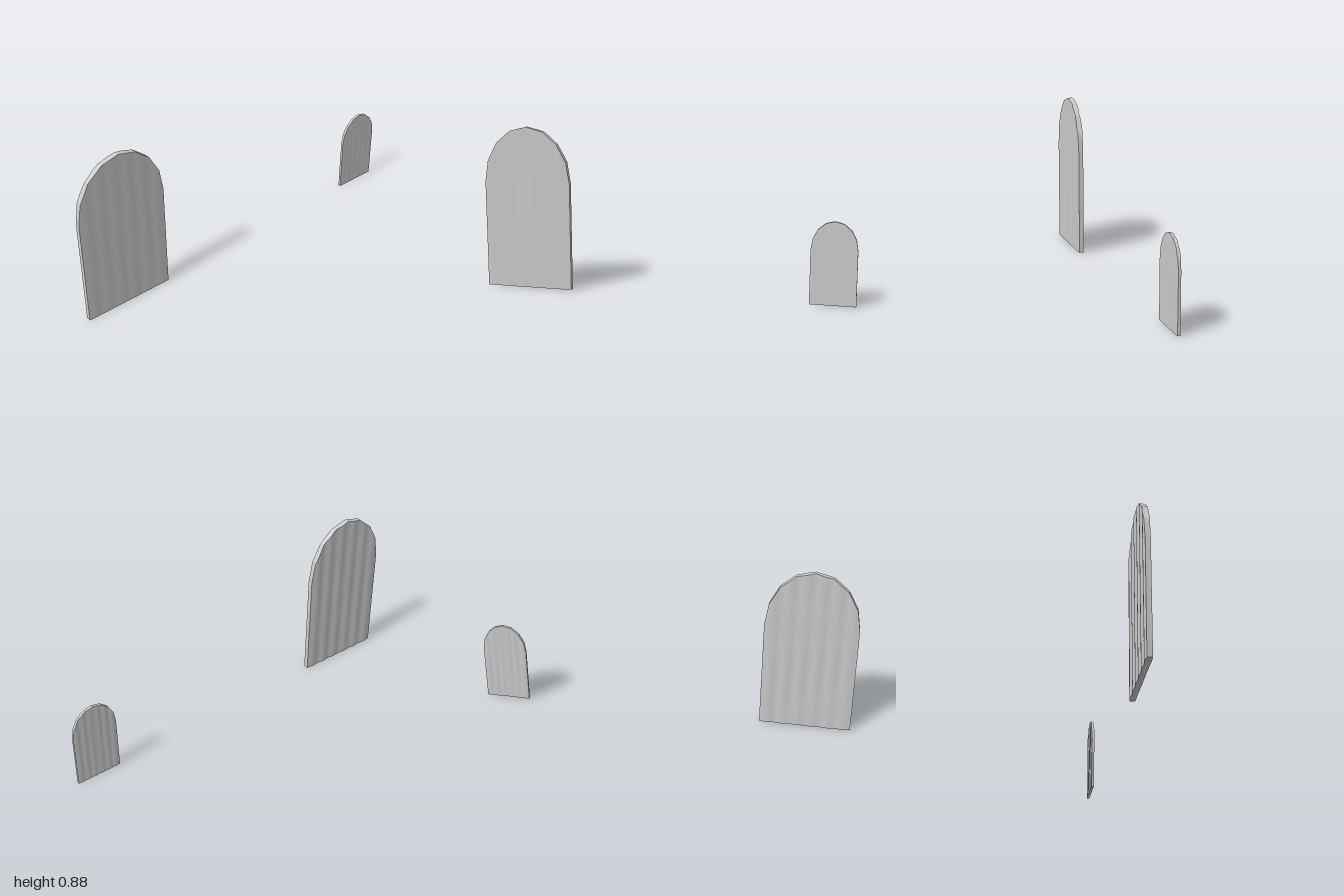
import * as THREE from 'three';
import { toCreasedNormals } from 'three/addons/utils/BufferGeometryUtils.js';

const PLANKS = 6;
const SEGMENTS = 8;

// Faceted elliptical arch: 0 at the spring line, 1 at the crown
const archKnots = Array.from({ length: SEGMENTS + 1 }, (_, i) => {
  const a = Math.PI * (1 - i / SEGMENTS);
  return [Math.cos(a), Math.sin(a)];
});
function archHeight(u) {
  for (let i = 1; i <= SEGMENTS; i++) {
    const [u0, h0] = archKnots[i - 1], [u1, h1] = archKnots[i];
    if (u <= u1 + 1e-9) return h0 + (h1 - h0) * (u - u0) / (u1 - u0);
  }
  return 0;
}

// Arched panel swept across its width, with shallow vertical plank grooves
function panelGeometry(width, spring, rise, depth) {
  const us = archKnots.map(k => k[0]);
  for (let i = 0; i <= PLANKS * 6; i++) us.push(-1 + 2 * i / (PLANKS * 6));
  us.sort((a, b) => a - b);
  const columns = us.filter((u, i) => i === 0 || u - us[i - 1] > 1e-4);

  const sections = columns.map(u => {
    const x = u * width / 2;
    const top = spring + rise * archHeight(u);
    const groove = Math.cos((u + 1) * Math.PI * PLANKS) * 0.5 + 0.5;
    const front = depth / 2 - groove * depth * 0.04;
    const back = -depth / 2 + groove * depth * 0.14;
    return [[x, 0, front], [x, top, front], [x, top, back], [x, 0, back]];
  });

  const pos = [];
  const quad = (a, b, c, d) => pos.push(...a, ...b, ...c, ...a, ...c, ...d);
  for (let i = 0; i < sections.length - 1; i++) {
    const s = sections[i], t = sections[i + 1];
    for (let k = 0; k < 4; k++) {
      const n = (k + 1) % 4;
      quad(s[k], t[k], t[n], s[n]);
    }
  }
  // End faces
  const l = sections[0], r = sections[sections.length - 1];
  quad(l[0], l[1], l[2], l[3]);
  quad(r[3], r[2], r[1], r[0]);

  const geometry = new THREE.BufferGeometry();
  geometry.setAttribute('position', new THREE.Float32BufferAttribute(pos, 3));
  return toCreasedNormals(geometry, 0.35);
}

export function createModel() {
  const group = new THREE.Group();
  group.name = 'archedPanels';
  const material = new THREE.MeshStandardMaterial({ color: 0xcccccc });

  const addPanel = (name, width, spring, rise, depth, x, z) => {
    const mesh = new THREE.Mesh(panelGeometry(width, spring, rise, depth), material);
    mesh.name = name;
    mesh.position.set(x, 0, z);
    group.add(mesh);
  };

  addPanel('largeArchedDoor', 0.48, 0.58, 0.3, 0.031, -0.76, 0.0105);
  addPanel('smallArchedShutter', 0.24, 0.29, 0.15, 0.016, 0.88, -0.017);
  return group;
}
